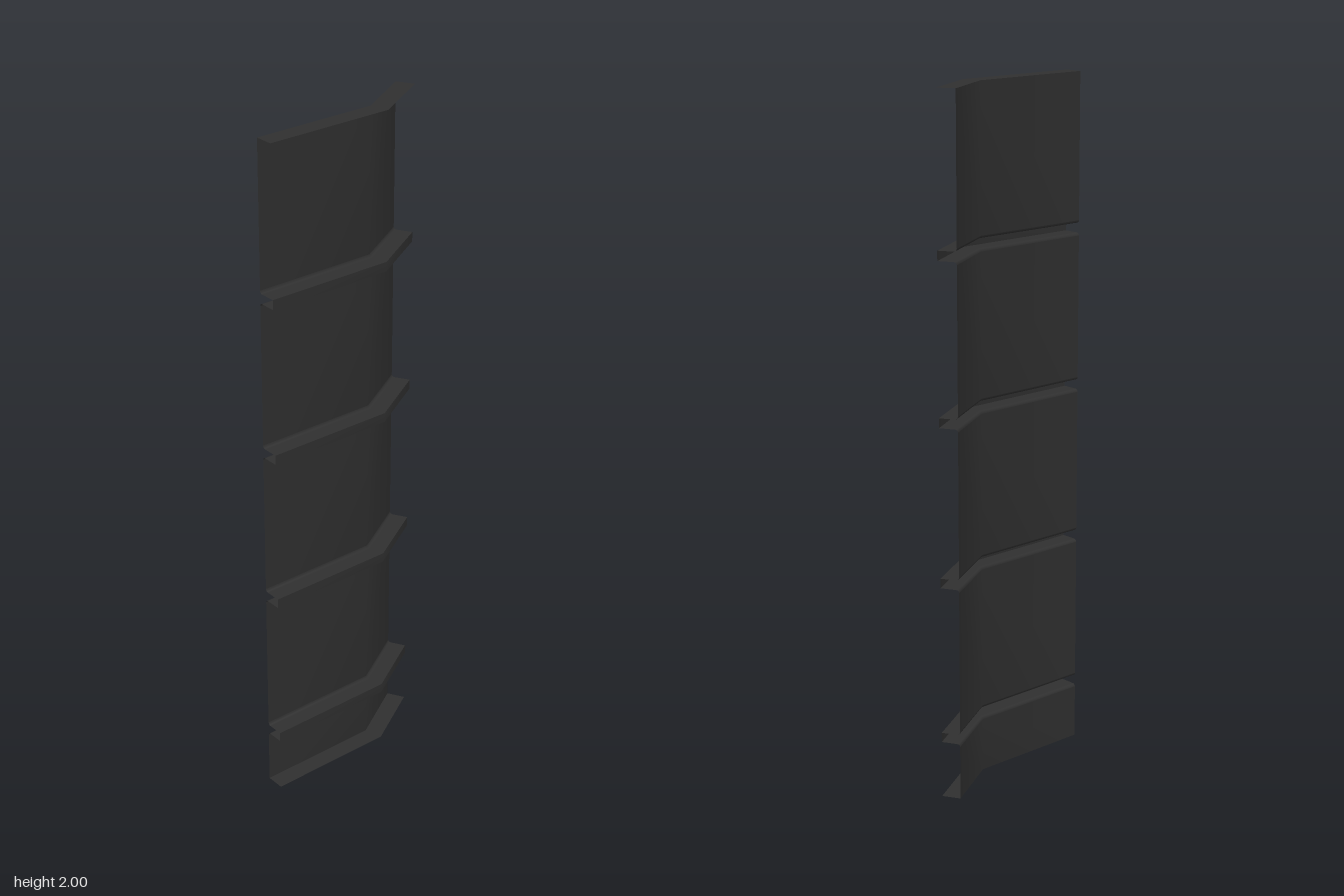
import * as THREE from 'three';

// Plan of the bent sheet: inner and outer lines, as [x, z] from front to back
const INNER = [[0.025, 0.288], [0.025, -0.084], [-0.08, -0.262]];
const OUTER = [[0.079, 0.288], [0.079, -0.099], [-0.032, -0.289]];
const HEIGHT = 2;
const CHANNELS = [0.18, 0.64, 1.099, 1.558]; // centre heights
const HALF = 0.014;   // half the height of a channel
const FILLET = 0.008; // rounding where a panel turns into a channel
const DEPTH = 0.054;

// Sweeps a profile of [depth 0..1, y] points along the bent plan
function sweep(name, profile, material) {
  const position = [], index = [], n = INNER.length;
  for (const [t, y] of profile) {
    INNER.forEach(([x, z], i) => {
      position.push(THREE.MathUtils.lerp(x, OUTER[i][0], t), y, THREE.MathUtils.lerp(z, OUTER[i][1], t));
    });
  }
  for (let j = 0; j < profile.length - 1; j++) {
    for (let i = 0; i < n - 1; i++) {
      const a = j * n + i, b = a + 1, c = a + n, d = c + 1;
      index.push(a, b, d, a, d, c);
    }
  }
  const geometry = new THREE.BufferGeometry();
  geometry.setAttribute('position', new THREE.Float32BufferAttribute(position, 3));
  geometry.setIndex(index);
  geometry.computeVertexNormals();
  const mesh = new THREE.Mesh(geometry, material);
  mesh.name = name;
  return mesh;
}

// Quarter round from a panel edge into a channel wall; dir is +1 above, -1 below
function fillet(wallY, dir) {
  const points = [];
  for (let k = 0; k <= 3; k++) {
    const a = (k / 3) * Math.PI / 2;
    points.push([FILLET * (1 - Math.cos(a)) / DEPTH, wallY + dir * FILLET * (Math.sin(a) - 1)]);
  }
  return points;
}

export function createModel() {
  const group = new THREE.Group();
  group.name = 'corrugatedBentPanel';
  const charcoal = new THREE.MeshStandardMaterial({ color: 0x303030, side: THREE.DoubleSide });
  charcoal.name = 'charcoal';
  const add = (name, profile) => group.add(sweep(name, profile, charcoal));

  // Thin flanges at the bottom and top
  add('bottomFlange', [[1, 0], [0, 0]]);
  add('topFlange', [[0, HEIGHT], [1, HEIGHT]]);

  // Flat panels between the channels, with their rounded edges
  for (let i = 0; i <= CHANNELS.length; i++) {
    const low = i > 0 ? CHANNELS[i - 1] + HALF : 0;
    const high = i < CHANNELS.length ? CHANNELS[i] - HALF : HEIGHT;
    const bottom = i > 0 ? low + FILLET : 0;
    const top = i < CHANNELS.length ? high - FILLET : HEIGHT;
    add('panel', [[0, bottom], [0, top]]);
    if (i > 0) add('panelLowerEdge', fillet(low, -1).reverse());
    if (i < CHANNELS.length) add('panelUpperEdge', fillet(high, 1));
  }

  // Open channels standing out on the outer side
  const start = FILLET / DEPTH;
  for (const y of CHANNELS) {
    add('channelFloor', [[start, y - HALF], [1, y - HALF]]);
    add('channelFace', [[1, y - HALF], [1, y + HALF]]);
    add('channelRoof', [[1, y + HALF], [start, y + HALF]]);
  }
  return group;
}
